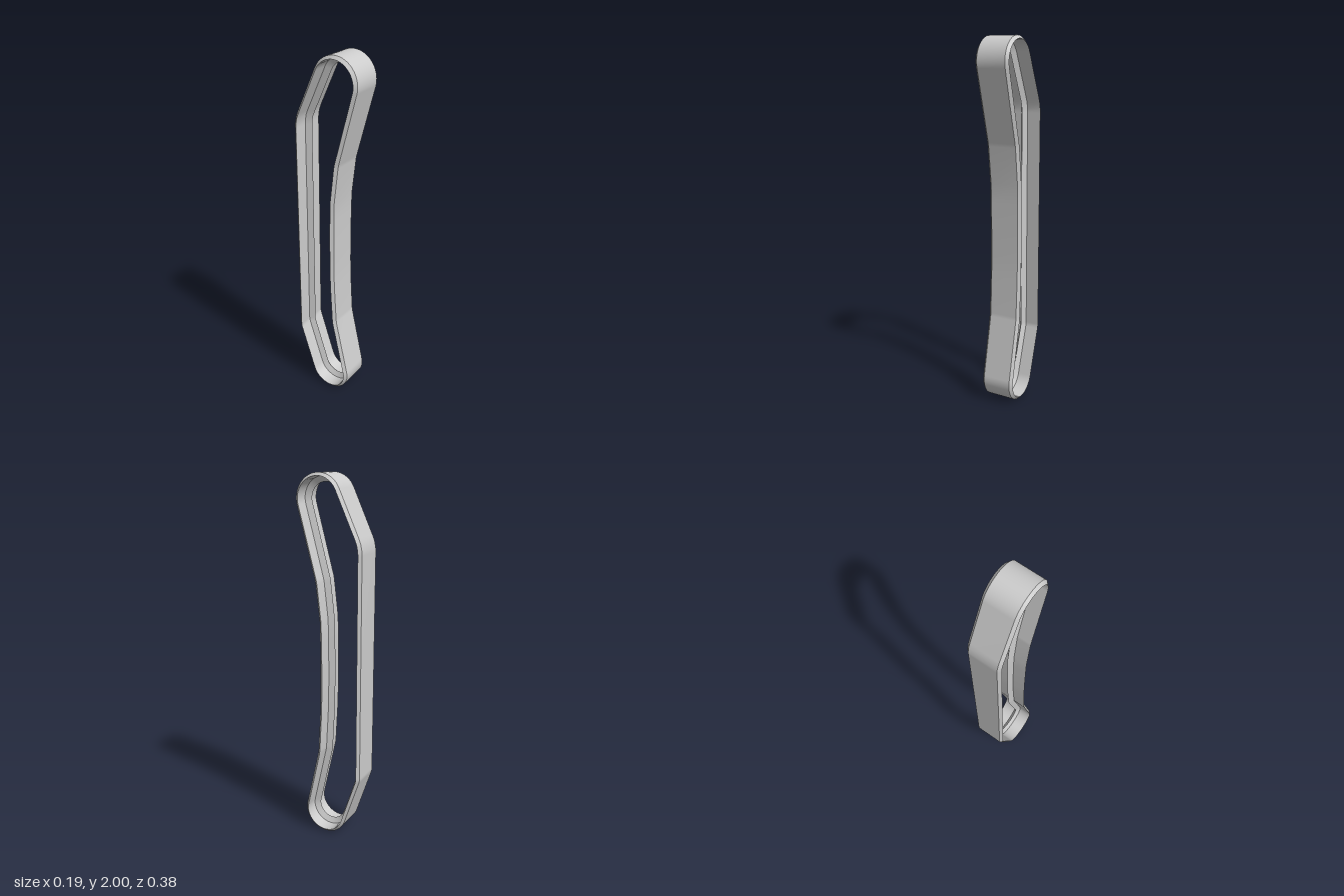
import * as THREE from 'three';
import { mergeGeometries } from 'three/addons/utils/BufferGeometryUtils.js';

// points on a round end, in (z, y)
function arc(cz, cy, r, from, to, steps = 28) {
  return Array.from({ length: steps + 1 }, (_, i) => {
    const a = THREE.MathUtils.degToRad(from + (to - from) * i / steps);
    return new THREE.Vector2(cz + r * Math.cos(a), cy + r * Math.sin(a));
  });
}
const pts = list => list.map(([z, y]) => new THREE.Vector2(z, y));

// one strip of the band between two section points [x, depth below the outer face]
function strip(path, a, b) {
  const n = path.length, pos = [], index = [];
  path.forEach((p, i) => {
    const d0 = p.clone().sub(path[(i + n - 1) % n]).normalize();
    const d1 = path[(i + 1) % n].clone().sub(p).normalize();
    const t = d0.clone().add(d1).normalize();
    const miter = 1 / t.dot(d1);
    for (const [x, depth] of [a, b]) {
      pos.push(x, p.y + t.x * depth * miter, p.x - t.y * depth * miter);
    }
    const j = (i + 1) % n;
    index.push(2 * i, 2 * i + 1, 2 * j + 1, 2 * i, 2 * j + 1, 2 * j);
  });
  const g = new THREE.BufferGeometry();
  g.setAttribute('position', new THREE.Float32BufferAttribute(pos, 3));
  g.setIndex(index);
  g.computeVertexNormals(); // smooth along the loop, sharp between strips
  return g;
}

export function createModel() {
  const group = new THREE.Group();
  group.name = 'beltLoop';

  // outer line of the loop: top end, straight back, bottom end, sagging front
  const path = [
    ...arc(0.06, 1.87, 0.13, -14, 155),
    ...pts([[-0.167, 1.69], [-0.179, 1.66], [-0.186, 1.625], [-0.187, 1.6],
      [-0.187, 0.38], [-0.186, 0.365], [-0.182, 0.35]]),
    ...arc(0.025, 0.125, 0.125, 197, 372.6),
    ...pts([[0.072, 0.485], [0.07, 0.505], [0.058, 0.72], [0.055, 0.83], [0.054, 0.98],
      [0.055, 1.13], [0.057, 1.24], [0.08, 1.44], [0.084, 1.46]]),
  ];

  // band section: bevelled outer face and a pointed guide rib inside
  const section = [[-0.08, 0], [0.08, 0], [0.095, 0.016], [0.018, 0.016],
    [0, 0.047], [-0.018, 0.016], [-0.095, 0.016]];
  const strips = section.map((s, i) => strip(path, s, section[(i + 1) % section.length]));

  const belt = new THREE.Mesh(mergeGeometries(strips),
    new THREE.MeshStandardMaterial({ color: 0xcccccc }));
  belt.name = 'belt';
  group.add(belt);
  return group;
}
